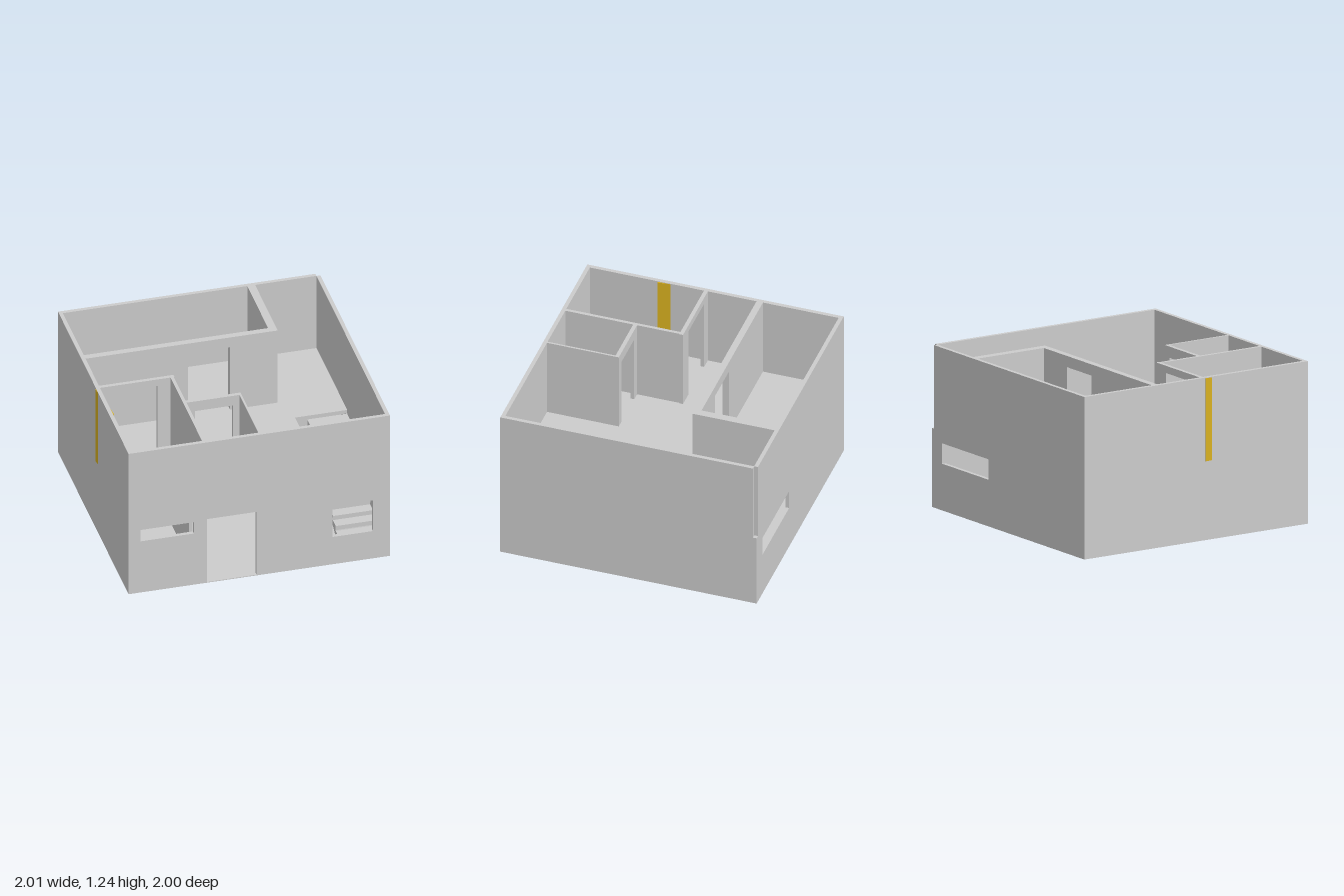
import * as THREE from 'three';

const GREY = new THREE.MeshStandardMaterial({ color: 0xcccccc });
const T = 0.03, FLOOR = 0.6, TOP = 1.235;

const polygon = (pts, Kind = THREE.Shape) => new Kind(pts.map(([a, b]) => new THREE.Vector2(a, b)));
const rect = (a0, a1, b0, b1) => [[a0, b0], [a1, b0], [a1, b1], [a0, b1]];

// Extruded outline with rectangular holes [a0, a1, b0, b1]
function panel(outline, depth, holes = []) {
  const shape = polygon(outline);
  holes.forEach(h => shape.holes.push(polygon(rect(...h), THREE.Path)));
  return new THREE.ExtrudeGeometry(shape, { depth, bevelEnabled: false });
}

export function createModel() {
  const model = new THREE.Group();

  const add = (name, geometry, material = GREY) => {
    const mesh = new THREE.Mesh(geometry, material);
    mesh.name = name;
    model.add(mesh);
    return mesh;
  };
  // Wall running along x, filling z0..z1
  const wallX = (name, outline, z0, z1, holes) =>
    add(name, panel(outline, z1 - z0, holes).translate(0, 0, z0));
  // Wall running along z, filling x0..x1
  const wallZ = (name, x0, x1, z0, z1, y0, y1, holes = []) =>
    add(name, panel(rect(-z1, -z0, y0, y1), x1 - x0, holes.map(([a, b, c, d]) => [-b, -a, c, d]))
      .rotateY(Math.PI / 2).translate(x0, 0, 0));
  // Horizontal slab, filling y0..y1
  const slab = (name, x0, x1, z0, z1, y0, y1, holes = []) =>
    add(name, panel(rect(x0, x1, z0, z1), y1 - y0, holes).rotateX(Math.PI / 2).translate(0, y1, 0));

  // Outer walls; the back one stops short of the upper corner
  wallX('frontWall', rect(-1, 1, 0, TOP), 1 - T, 1, [
    [-0.91, -0.5, 0.45, 0.55], [-0.4, -0.02, 0.006, 0.56], [0.56, 0.87, 0.24, 0.51],
  ]);
  wallX('backWall', [[-1, 0], [1, 0], [1, FLOOR], [1 - T, FLOOR], [1 - T, TOP], [-1, TOP]],
    -1, -1 + T, [[0.255, 0.865, 0.355, 0.51]]);
  wallZ('leftWall', 1 - T, 1, -1 + T, 1 - T, 0, TOP);
  wallZ('rightWall', -1, -1 + T, -1 + T, 1 - T, 0, TOP);

  // Floors, the upper one with the stairwell cut out
  slab('groundFloor', -0.97, 0.97, -0.97, 0.97, 0, 0.006);
  slab('upperFloor', -0.97, 0.97, -0.97, 0.97, 0.57, FLOOR, [[0.57, 0.969, -0.1, 0.969]]);

  // Ground floor partitions
  wallX('groundBackPartition', rect(-0.97, 0.97, 0, 0.57), -0.33, -0.3, [[-0.18, 0.135, 0.006, 0.55]]);
  wallZ('groundSidePartition', -0.45, -0.42, -0.3, 0.67, 0, 0.57);

  // Upper back room
  const doorTop = 1.15;
  wallX('backRoomFront', rect(-0.97, 0.5, 0.58, TOP), -0.38, -0.33, [[-0.185, 0.135, FLOOR, doorTop]]);
  wallZ('backRoomSide', 0.44, 0.5, -0.97, -0.38, 0.58, TOP);

  // Upper corner room
  wallX('cornerRoomBack', rect(-0.97, -0.4, 0.58, TOP), 0.05, 0.08, [[-0.885, -0.53, FLOOR, 1.18]]);
  wallZ('cornerRoomSide', -0.43, -0.405, 0.08, 0.97, 0.58, TOP);

  // Upper small room
  wallX('smallRoomBack', rect(-0.405, 0.015, 0.58, TOP), 0.41, 0.44, [[-0.34, -0.05, FLOOR, doorTop]]);
  wallZ('smallRoomSide', 0, 0.015, 0.44, 0.97, 0.58, TOP);

  // Open door leaf, its free edge just passing through the outer wall
  const leaf = add('doorLeaf', new THREE.BoxGeometry(0.01, 0.63, 0.36),
    new THREE.MeshStandardMaterial({ color: 0xd8b020 }));
  leaf.position.set(-0.983, 0.915, 0.26);
  leaf.rotation.y = 0.1;

  // Staircase: two low steps, a landing, then a flight rising to the back
  const rise = 0.0435, run = 0.072, landingY = 0.1, steps = 11;
  slab('lowerStep', 0.57, 0.6, 0.66, 0.97, 0.006, 0.03);
  slab('secondStep', 0.6, 0.66, 0.66, 0.97, 0.006, 0.06);
  slab('landing', 0.66, 0.969, 0.72, 0.97, 0.006, landingY);

  // Flight profile as (distance towards the back, height) with nosings
  const profile = [[0, landingY - 0.05], [0.012, landingY]];
  for (let i = 0; i < steps; i++) {
    const z = i * run, y = landingY + (i + 1) * rise;
    profile.push([z + 0.012, y - 0.02], [z, y - 0.02], [z, y], [z + run + 0.012, y]);
  }
  const end = steps * run;
  profile.push([end + 0.012, landingY + steps * rise - 0.06]);
  add('stairFlight', panel(profile, 0.305).rotateY(Math.PI / 2).translate(0.66, 0, 0.72));

  return model;
}
